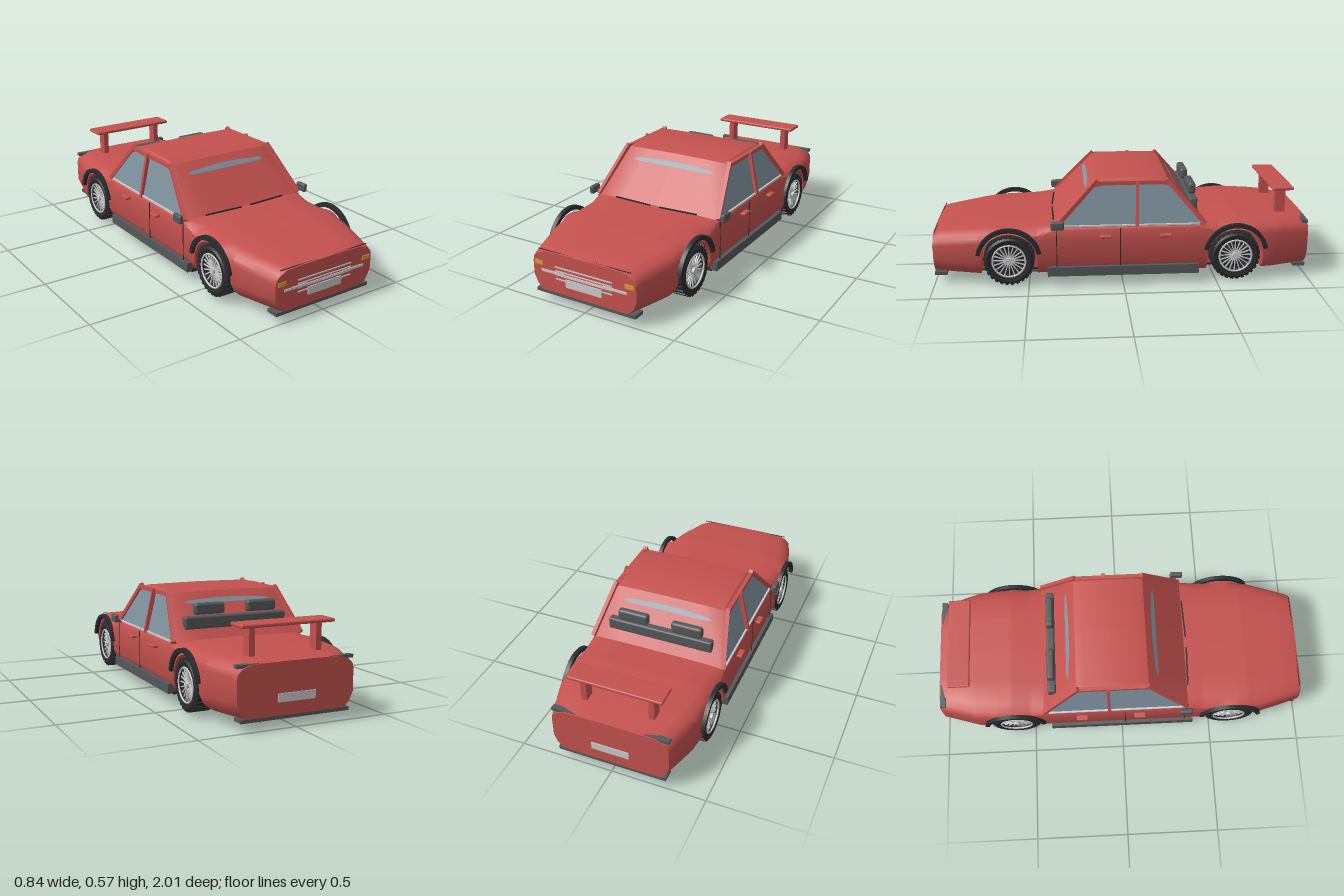
import * as THREE from 'three';
import { toCreasedNormals } from 'three/addons/utils/BufferGeometryUtils.js';
import { RoundedBoxGeometry } from 'three/addons/geometries/RoundedBoxGeometry.js';

const paint = (color) => new THREE.MeshStandardMaterial({ color });
const red = paint(0xc4524e), black = paint(0x2a2c2e), grey = paint(0x55585a), silver = paint(0xd0d2d4),
  glass = paint(0x7f929e), amber = paint(0xd8a030);
glass.side = THREE.DoubleSide;

// Linear lookup in a list of [position, value] with falling positions
function lerpTable(table, z) {
  for (let i = 1; i < table.length; i++) {
    const [z0, v0] = table[i - 1], [z1, v1] = table[i];
    if (z >= z1) return v0 + (v1 - v0) * Math.min(1, Math.max(0, (z0 - z) / (z0 - z1)));
  }
  return table[table.length - 1][1];
}

// Skin over closed, mirrored sections; half(z) gives [x, y] from top centre to bottom centre
function loft(stations, half, crease) {
  const rings = stations.map((z) => {
    const h = half(z);
    const mirrored = h.slice(1, -1).reverse().map(([x, y]) => [-x, y]);
    return [...h, ...mirrored].map(([x, y]) => [x, y, z]);
  });
  const n = rings[0].length, pos = [];
  const tri = (...p) => p.forEach((v) => pos.push(...v));
  for (let i = 0; i < rings.length - 1; i++) {
    for (let j = 0; j < n; j++) {
      const k = (j + 1) % n, r = rings[i], q = rings[i + 1];
      tri(r[j], r[k], q[j]);
      tri(r[k], q[k], q[j]);
    }
  }
  const caps = [rings[0], rings[rings.length - 1]];
  caps.forEach((ring, end) => {
    const c = [0, (ring[0][1] + ring[n / 2][1]) / 2, ring[0][2]];
    for (let j = 0; j < n; j++) {
      const k = (j + 1) % n;
      if (end) tri(c, ring[j], ring[k]); else tri(c, ring[k], ring[j]);
    }
  });
  const g = new THREE.BufferGeometry();
  g.setAttribute('position', new THREE.Float32BufferAttribute(pos, 3));
  return toCreasedNormals(g, crease);
}

const WHEELS = [0.6, -0.595], ARCH = 0.148;
const WIDTH = [[1, 0.3], [0.9, 0.33], [0.76, 0.368], [0.64, 0.383], [0.4, 0.38], [-0.42, 0.38], [-0.68, 0.383], [-0.8, 0.37], [-0.9, 0.34], [-1, 0.31]];
const TOP = [[1, 0.275], [0.97, 0.284], [0.7, 0.315], [0.37, 0.328], [-0.42, 0.33], [-0.6, 0.34], [-0.85, 0.33], [-1, 0.315]];
const ROUND = [[1, 1], [0.45, 1], [0.35, 0.4], [-0.4, 0.4], [-0.5, 1], [-1, 1]];

// Lower body section, with wells cut for the wheels
function bodySection(z) {
  const w = lerpTable(WIDTH, z), top = lerpTable(TOP, z), r = lerpTable(ROUND, z);
  let cut = 0;
  for (const c of WHEELS) {
    const d = Math.abs(z - c);
    if (d <= ARCH + 1e-4) cut = 0.15 + Math.sqrt(Math.max(0, ARCH * ARCH - d * d));
  }
  const up = (y) => Math.max(y, cut), inner = Math.min(0.255, w - 0.05);
  return [[0, top + 0.004], [(w - 0.07 * r) * 0.6, top + 0.003], [w - 0.07 * r, top], [w - 0.025 * r, top - 0.018 * r],
    [w - 0.004, up(top - 0.04 * r)], [w, up(top - 0.065)], [w, up(0.14)], [w - 0.02, up(0.095)],
    [w - 0.05, up(0.066)], [inner, up(0.066)], [inner, 0.066], [0, 0.066]];
}

// Cabin section, leaning in towards the roof
const ROOF = [[0.36, 0.33], [0.14, 0.555], [0.1, 0.565], [-0.05, 0.57], [-0.2, 0.565], [-0.24, 0.555], [-0.43, 0.33]];
const cabinX = (y) => 0.365 - (y - 0.33) * 0.24;
function cabinSection(z) {
  const t = lerpTable(ROOF, z), lip = Math.max(0.322, t - 0.012);
  return [[0, t + 0.002], [cabinX(t) * 0.6, t], [cabinX(t) - 0.012, t - 0.002], [cabinX(lip), lip], [0.367, 0.32], [0, 0.32]];
}

// Flat panel from corner points, as a fan
function panel(points) {
  const g = new THREE.BufferGeometry().setFromPoints(points.map((p) => new THREE.Vector3(...p)));
  g.setIndex(points.slice(2).flatMap((_, i) => [0, i + 1, i + 2]));
  g.computeVertexNormals();
  return g;
}

function makeWheel(side) {
  const wheel = new THREE.Group();
  const part = (name, geo, mat) => {
    const m = new THREE.Mesh(geo, mat);
    m.name = name;
    wheel.add(m);
    return m;
  };
  const profile = [[0.088, -0.05], [0.115, -0.056], [0.126, -0.048], [0.129, 0], [0.126, 0.048], [0.115, 0.056], [0.088, 0.05], [0.086, 0], [0.088, -0.05]];
  const tyre = new THREE.LatheGeometry(profile.map(([r, h]) => new THREE.Vector2(r, h)), 40);
  part('tyre', toCreasedNormals(tyre.rotateZ(-Math.PI / 2), 0.6), black);
  part('wheelBack', new THREE.CylinderGeometry(0.088, 0.088, 0.05, 32).rotateZ(Math.PI / 2), black).position.x = -0.015 * side;
  part('rim', new THREE.TorusGeometry(0.086, 0.005, 8, 40).rotateY(Math.PI / 2), silver).position.x = 0.05 * side;
  part('hub', new THREE.CylinderGeometry(0.016, 0.016, 0.045, 16).rotateZ(Math.PI / 2), silver).position.x = 0.03 * side;
  for (let i = 0; i < 20; i++) {
    const a = (i / 20) * Math.PI * 2;
    const spoke = part('spoke', new THREE.BoxGeometry(0.006, 0.074, 0.006).translate(0, 0.05, 0), silver);
    spoke.position.x = 0.036 * side;
    spoke.rotation.x = a;
  }
  for (let i = 0; i < 56; i++) {
    const row = i % 2 ? 1 : -1;
    const block = part('treadBlock', new THREE.BoxGeometry(0.045, 0.008, 0.016).translate(0.026 * row, 0.129, 0), black);
    block.rotation.x = (i / 56) * Math.PI * 2;
  }
  return wheel;
}

export function createModel() {
  const car = new THREE.Group();
  car.name = 'car';
  const add = (name, geo, mat, x = 0, y = 0, z = 0) => {
    const m = new THREE.Mesh(geo, mat);
    m.name = name;
    m.position.set(x, y, z);
    car.add(m);
    return m;
  };
  const box = (name, mat, w, h, d, x, y, z) => add(name, new THREE.BoxGeometry(w, h, d), mat, x, y, z);
  const rounded = (name, mat, w, h, d, x, y, z, r) => add(name, new RoundedBoxGeometry(w, h, d, 3, r), mat, x, y, z);
  const bar = (name, mat, from, to, w, h) => {
    const a = new THREE.Vector3(...from), b = new THREE.Vector3(...to);
    const m = box(name, mat, w, h, a.distanceTo(b), ...a.clone().lerp(b, 0.5).toArray());
    m.lookAt(b);
    return m;
  };

  // Body and cabin
  const stations = [...WIDTH, ...TOP, ...ROUND].map((p) => p[0]);
  for (const c of WHEELS) {
    for (let i = 0; i <= 16; i++) stations.push(c + ARCH * Math.cos((i / 16) * Math.PI));
    stations.push(c + ARCH + 0.001, c - ARCH - 0.001);
  }
  const sorted = [...new Set(stations)].sort((a, b) => b - a);
  add('body', loft(sorted, bodySection, 0.6), red);
  add('cabin', loft(ROOF.map((p) => p[0]), cabinSection, 0.5), red);

  // Narrow bands of front and rear glass
  const band = [[-0.25, 0.505], [-0.21, 0.5], [0.21, 0.5], [0.25, 0.505], [0.22, 0.515], [0.06, 0.523], [-0.06, 0.523], [-0.22, 0.515]];
  add('windscreen', panel(band.map(([x, y]) => [x, y, 0.365 - (y - 0.33) * 0.978])), glass);
  add('rearWindow', panel(band.map(([x, y]) => [x, y, -0.435 + (y - 0.33) * 0.844])), glass);

  // Underside
  box('floor', black, 0.5, 0.018, 1.62, 0, 0.063, 0.01);
  box('floorMiddle', black, 0.72, 0.016, 0.8, 0, 0.065, 0);
  rounded('exhaustBox', grey, 0.27, 0.046, 0.37, -0.117, 0.026, -0.545, 0.018);
  const pipe = (pts) => add('exhaustPipe', new THREE.TubeGeometry(new THREE.CatmullRomCurve3(pts.map((p) => new THREE.Vector3(...p))), 24, 0.011, 10), grey);
  pipe([[0.175, 0.02, 0.51], [0.165, 0.025, 0], [0.15, 0.035, -0.95]]);
  pipe([[-0.175, 0.02, 0.51], [-0.165, 0.024, 0.1], [-0.15, 0.03, -0.4]]);
  bar('pipeBracket', grey, [0.14, 0.05, 0.42], [0.19, 0.026, 0.42], 0.02, 0.02);
  bar('pipeBracket', grey, [-0.22, 0.05, 0.42], [-0.14, 0.03, 0.42], 0.02, 0.02);

  // Front and rear trim
  for (const e of [1, -1]) box('bumperLip', grey, 0.58, 0.018, 0.065, 0, 0.058, e * 0.966);
  for (const y of [0.207, 0.187, 0.167, 0.145]) box('grilleStrip', silver, 0.334, 0.006, 0.008, 0, y, 1);
  box('grilleBar', silver, 0.5, 0.006, 0.008, 0, 0.174, 1);
  box('frontPlate', silver, 0.21, 0.042, 0.008, 0, 0.134, 1.001);
  box('rearPlate', silver, 0.2, 0.042, 0.008, 0, 0.15, -1);
  box('bonnetSeam', black, 0.54, 0.003, 0.004, 0, 0.279, 0.992);

  // Rear seat and wing
  rounded('rearSeat', grey, 0.58, 0.065, 0.044, 0, 0.415, -0.376, 0.01);
  rounded('wingBoard', red, 0.5, 0.018, 0.118, 0, 0.475, -0.868, 0.007);

  // Everything paired left and right
  for (const s of [1, -1]) {
    WHEELS.forEach((z) => {
      const wheel = makeWheel(s);
      wheel.name = z > 0 ? 'frontWheel' : 'rearWheel';
      wheel.position.set(0.328 * s, 0.15, z);
      car.add(wheel);
      const arch = new THREE.Shape();
      arch.absarc(0, 0, 0.172, 0.2, Math.PI - 0.2, false);
      arch.absarc(0, 0, 0.15, Math.PI - 0.2, 0.2, true);
      const geo = new THREE.ExtrudeGeometry(arch, { depth: 0.022, bevelEnabled: false, curveSegments: 28 });
      geo.translate(0, 0, -0.011).rotateY(Math.PI / 2);
      add('wheelArch', toCreasedNormals(geo, 0.5), black, 0.387 * s, 0.16, z);
    });

    // Side glass, chrome strip and pillars
    const side = [[0.33, 0.335], [-0.41, 0.335], [-0.25, 0.525], [-0.2, 0.535], [0.1, 0.535], [0.15, 0.525]];
    add('sideGlass', panel(side.map(([z, y]) => [s * (cabinX(y) + 0.005), y, z])), glass);
    box('waistStrip', silver, 0.012, 0.008, 0.74, 0.372 * s, 0.333, -0.03);
    bar('frontPillar', red, [0.37 * s, 0.33, 0.355], [0.316 * s, 0.562, 0.135], 0.022, 0.02);
    bar('middlePillar', red, [0.378 * s, 0.325, -0.07], [0.328 * s, 0.56, -0.075], 0.016, 0.022);
    bar('rearPillar', red, [0.37 * s, 0.33, -0.43], [0.316 * s, 0.562, -0.23], 0.022, 0.02);
    bar('roofRail', red, [0.318 * s, 0.548, 0.14], [0.318 * s, 0.548, -0.235], 0.02, 0.02);

    // Doors
    box('sill', grey, 0.04, 0.05, 0.8, 0.37 * s, 0.088, 0);
    for (const z of [0.35, 0.017, -0.255]) {
      const low = z < -0.2 ? 0.3 : 0.11;
      if (low < 0.2) box('doorGap', black, 0.004, 0.21, 0.004, 0.38 * s, 0.215, z);
    }
    for (const z of [0.095, -0.22]) rounded('doorHandle', red, 0.03, 0.015, 0.06, 0.394 * s, 0.28, z, 0.005);
    rounded('mirror', grey, 0.026, 0.046, 0.07, 0.407 * s, 0.348, 0.345, 0.01);
    bar('mirrorArm', grey, [0.365 * s, 0.325, 0.335], [0.405 * s, 0.335, 0.335], 0.014, 0.014);

    // Lamps, wipers, headrests and wing posts
    box('indicator', amber, 0.048, 0.022, 0.01, 0.264 * s, 0.211, 0.999);
    box('grilleEnd', silver, 0.135, 0.012, 0.01, 0.18 * s, 0.174, 1);
    box('rearLamp', grey, 0.13, 0.016, 0.03, 0.245 * s, 0.31, -0.98);
    bar('wiper', black, [0.03 * s, 0.334, 0.373], [0.25 * s, 0.336, 0.365], 0.008, 0.006);
    rounded('headrest', grey, 0.17, 0.06, 0.04, 0.15 * s, 0.484, -0.376, 0.014);
    box('wingPost', red, 0.03, 0.14, 0.056, 0.18 * s, 0.4, -0.868);
  }
  return car;
}
